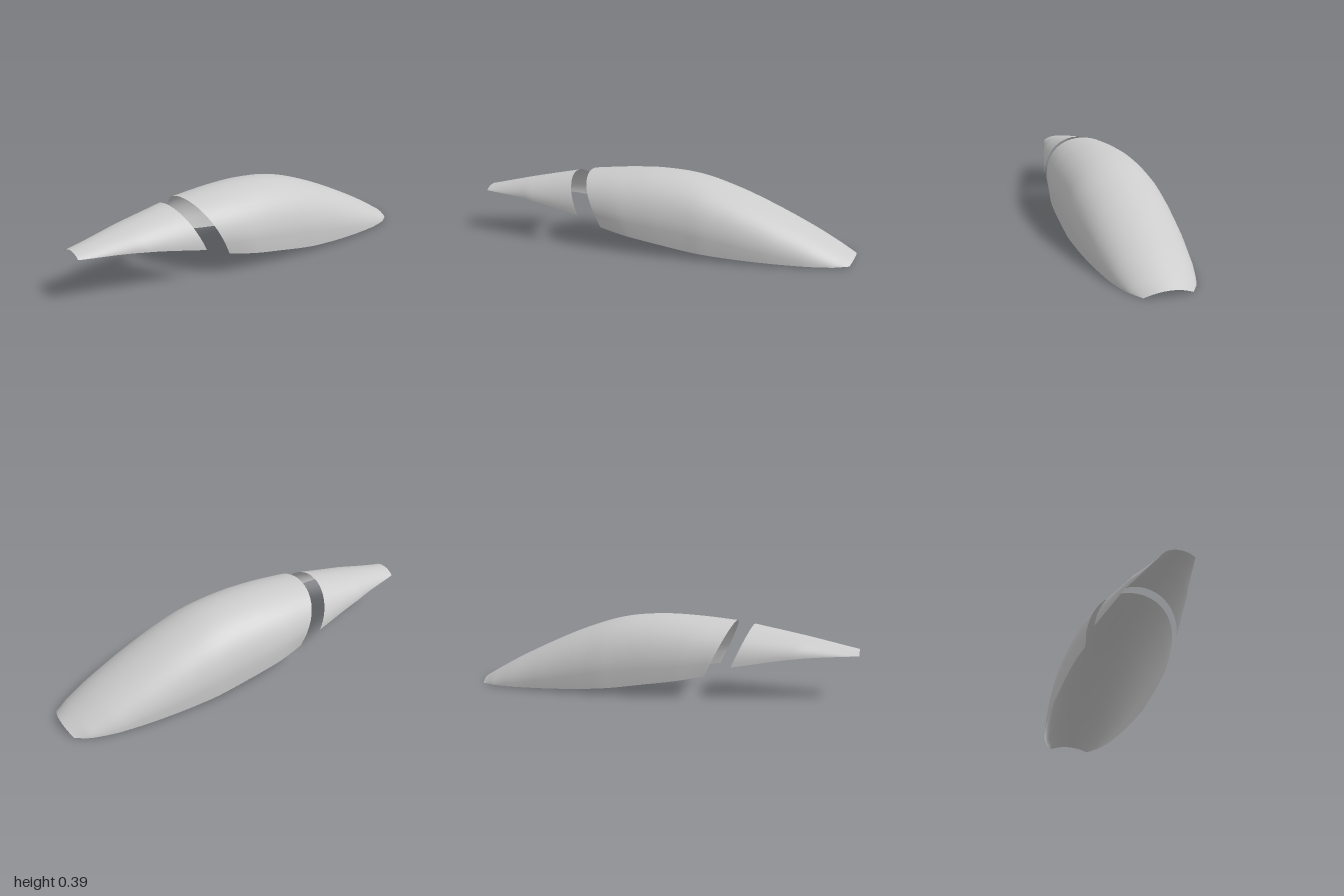
import * as THREE from 'three';

const material = new THREE.MeshStandardMaterial({ color: 0xcccccc, side: THREE.DoubleSide });

// Open arched shell. Each station: [crestX, crestY, rimX, rimY, halfWidth, fullness]
// fullness 1 = shallow parabola, 2 = ellipse, more = upright sides.
function archedShell(name, stations, steps, sides = 24) {
  const curve = (f) => new THREE.CatmullRomCurve3(stations.map(f));
  const crest = curve((s) => new THREE.Vector3(s[0], s[1], 0));
  const rim = curve((s) => new THREE.Vector3(s[2], s[3], 0));
  const shape = curve((s) => new THREE.Vector3(s[4], s[5], 0));
  const positions = [];
  const index = [];
  for (let i = 0; i <= steps; i++) {
    const t = i / steps;
    const top = crest.getPoint(t);
    const base = rim.getPoint(t);
    const { x: width, y: fullness } = shape.getPoint(t);
    for (let j = 0; j <= sides; j++) {
      const a = Math.PI * (0.5 - j / sides);
      const up = Math.pow(Math.max(Math.cos(a), 0), 2 / fullness);
      // the upright sides tuck in slightly towards the rim
      const tuck = 0.035 * Math.max(0, fullness - 2) * Math.max(0, 1 - up / 0.3) ** 2;
      const p = base.clone().lerp(top, up);
      positions.push(p.x, p.y, width * Math.sin(a) * (1 - tuck));
      if (i < steps && j < sides) {
        const k = i * (sides + 1) + j;
        const n = k + sides + 1;
        index.push(k, n, k + 1, n, n + 1, k + 1);
      }
    }
  }
  const geometry = new THREE.BufferGeometry();
  geometry.setAttribute('position', new THREE.Float32BufferAttribute(positions, 3));
  geometry.setIndex(index);
  geometry.computeVertexNormals();
  const mesh = new THREE.Mesh(geometry, material);
  mesh.name = name;
  return mesh;
}

export function createModel() {
  const group = new THREE.Group();
  group.name = 'splitShell';

  // long domed body, tapering to a low nose
  group.add(archedShell('bodyShell', [
    [-0.39, 0.37, -0.265, 0.112, 0.222, 2.9],
    [-0.2, 0.388, -0.12, 0.085, 0.245, 2.9],
    [0, 0.395, 0.04, 0.062, 0.253, 2.9],
    [0.2, 0.376, 0.22, 0.036, 0.255, 2.9],
    [0.4, 0.317, 0.41, 0.02, 0.247, 2.8],
    [0.6, 0.235, 0.6, 0.011, 0.228, 2.5],
    [0.8, 0.14, 0.79, 0.005, 0.195, 2],
    [0.92, 0.075, 0.91, 0.002, 0.157, 1.5],
    [1, 0.03, 0.98, 0.001, 0.112, 1],
  ], 48));

  // narrow tail behind the slanted gap
  group.add(archedShell('tailShell', [
    [-1, 0.245, -1, 0.22, 0.07, 1.2],
    [-0.74, 0.303, -0.7, 0.204, 0.145, 1.8],
    [-0.48, 0.355, -0.395, 0.16, 0.206, 2],
  ], 20));

  return group;
}
